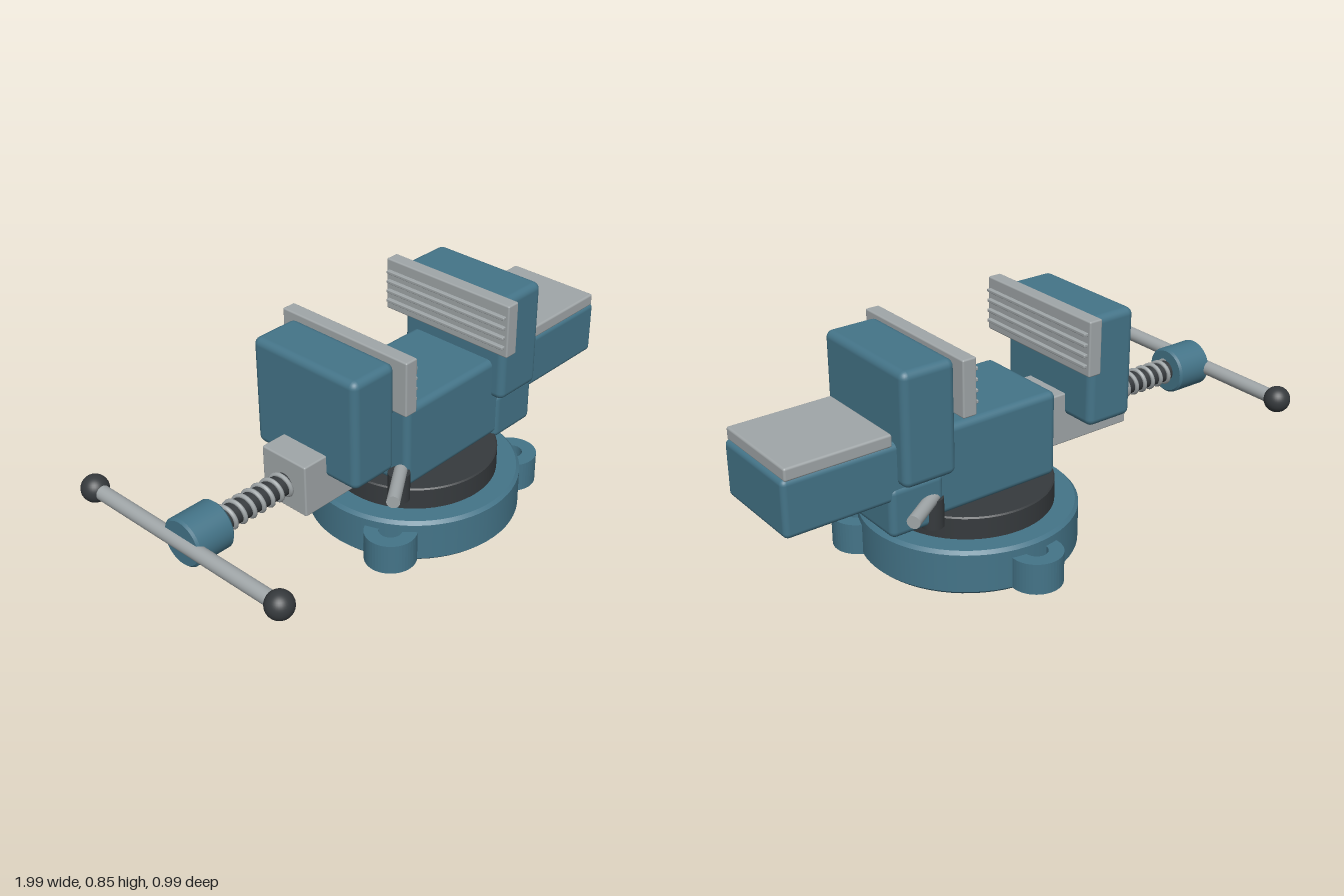
import * as THREE from 'three';
import { RoundedBoxGeometry } from 'three/addons/geometries/RoundedBoxGeometry.js';

const paint = new THREE.MeshStandardMaterial({ color: 0x447488 });
const steel = new THREE.MeshStandardMaterial({ color: 0xa0a6a8 });
const dark = new THREE.MeshStandardMaterial({ color: 0x363a3d });

const BASE_X = 0.155; // swivel axis
const SCREW_Y = 0.4;

export function createModel() {
  const vise = new THREE.Group();
  vise.name = 'benchVise';

  function add(name, geometry, material, x = 0, y = 0, z = 0, parent = vise) {
    const mesh = new THREE.Mesh(geometry, material);
    mesh.name = name;
    mesh.position.set(x, y, z);
    parent.add(mesh);
    return mesh;
  }

  // Rounded block from its x and y extents, centred on z
  function block(name, material, x0, x1, y0, y1, halfZ, radius) {
    const geometry = new RoundedBoxGeometry(x1 - x0, y1 - y0, halfZ * 2, 3, radius);
    return add(name, geometry, material, (x0 + x1) / 2, (y0 + y1) / 2, 0);
  }

  // Solid disc with chamfered rims, axis along y, starting at y = 0
  function disc(radius, height, bevel) {
    const rings = [[0, 0], [radius - bevel, 0], [radius, bevel],
      [radius, height - bevel], [radius - bevel, height], [0, height]];
    // Doubled corners keep the rims crisp
    const points = rings.flatMap(([r, y]) => [new THREE.Vector2(r, y), new THREE.Vector2(r, y)]);
    return new THREE.LatheGeometry(points.slice(1, -1), 64);
  }

  // Rod between two points
  function rod(name, material, a, b, radius) {
    const axis = new THREE.Vector3().subVectors(b, a);
    const mesh = add(name, new THREE.CylinderGeometry(radius, radius, axis.length(), 24), material);
    mesh.position.addVectors(a, b).multiplyScalar(0.5);
    mesh.quaternion.setFromUnitVectors(new THREE.Vector3(0, 1, 0), axis.normalize());
    return mesh;
  }

  // Swivel base and turntable
  add('base', disc(0.397, 0.168, 0.012), paint, BASE_X, 0, 0);
  add('turntable', disc(0.311, 0.09, 0.005), dark, BASE_X, 0.162, 0);

  // Three mounting lugs with bolt holes
  const lugShape = new THREE.Shape().absarc(0, 0, 0.096, 0, Math.PI * 2);
  lugShape.holes.push(new THREE.Path().absarc(0, 0, 0.042, 0, Math.PI * 2, true));
  const lugGeometry = new THREE.ExtrudeGeometry(lugShape, { depth: 0.118, bevelEnabled: false, curveSegments: 24 });
  lugGeometry.rotateX(-Math.PI / 2);
  for (let i = 0; i < 3; i++) {
    const angle = -Math.PI / 2 + i * Math.PI * 2 / 3;
    add('mountingLug', lugGeometry, paint, BASE_X + 0.395 * Math.cos(angle), 0.01, 0.395 * Math.sin(angle));
  }

  // Swivel lock bolts and levers on opposite corners
  for (const s of [1, -1]) {
    add('lockBolt', new THREE.CylinderGeometry(0.04, 0.04, 0.11, 24), dark, BASE_X - s * 0.272, 0.275, s * 0.173);
    rod('lockLever', steel,
      new THREE.Vector3(BASE_X - s * 0.26, 0.331, s * 0.17),
      new THREE.Vector3(BASE_X - s * 0.42, 0.331, s * 0.28), 0.024);
  }

  // Fixed body, rear support and anvil
  block('body', paint, -0.095, 0.598, 0.253, 0.578, 0.19, 0.025);
  block('rearSupport', paint, 0.39, 0.605, 0.232, 0.42, 0.197, 0.025);
  block('anvil', paint, 0.55, 0.992, 0.367, 0.576, 0.19, 0.02);
  block('anvilPlate', steel, 0.585, 0.98, 0.57, 0.617, 0.188, 0.008);

  // Jaws with ridged plates facing each other
  function jaw(side, x0, x1, y0, y1, plateX) {
    block(side + 'Jaw', paint, x0, x1, y0, y1, 0.237, 0.027);
    block(side + 'JawPlate', steel, plateX - 0.027, plateX + 0.027, 0.645, 0.85, 0.286, 0.006);
    const dir = side === 'fixed' ? -1 : 1;
    for (let i = 0; i < 4; i++) {
      const y = 0.685 + i * 0.039;
      block(side + 'JawRidge', steel, plateX + dir * 0.033 - 0.009, plateX + dir * 0.033 + 0.009,
        y - 0.006, y + 0.006, 0.275, 0.003);
    }
  }
  jaw('fixed', 0.365, 0.572, 0.423, 0.838, 0.347);
  jaw('moving', -0.402, -0.207, 0.418, 0.833, -0.183);

  // Sliding bar of the moving jaw
  block('slideBar', steel, -0.502, 0.3, 0.308, 0.506, 0.102, 0.006);

  // Lead screw with a helical thread
  rod('leadScrew', dark, new THREE.Vector3(-0.85, SCREW_Y, 0), new THREE.Vector3(0.645, SCREW_Y, 0), 0.04);
  const turns = 8;
  const helix = [];
  for (let i = 0; i <= turns * 16; i++) {
    const a = i / 16 * Math.PI * 2;
    helix.push(new THREE.Vector3(-0.81 + 0.33 * i / (turns * 16), SCREW_Y + 0.042 * Math.cos(a), 0.042 * Math.sin(a)));
  }
  add('screwThread', new THREE.TubeGeometry(new THREE.CatmullRomCurve3(helix), turns * 32, 0.0085, 8), steel);

  // Handle hub, bar and end knobs
  const hub = add('handleHub', disc(0.088, 0.152, 0.008), paint, -0.802, SCREW_Y, 0);
  hub.rotation.z = Math.PI / 2;
  rod('handleBar', steel, new THREE.Vector3(-0.95, SCREW_Y, -0.445), new THREE.Vector3(-0.95, SCREW_Y, 0.445), 0.027);
  for (const s of [1, -1]) {
    add('handleKnob', new THREE.SphereGeometry(0.049, 32, 20), dark, -0.95, SCREW_Y, s * 0.445);
  }

  return vise;
}
